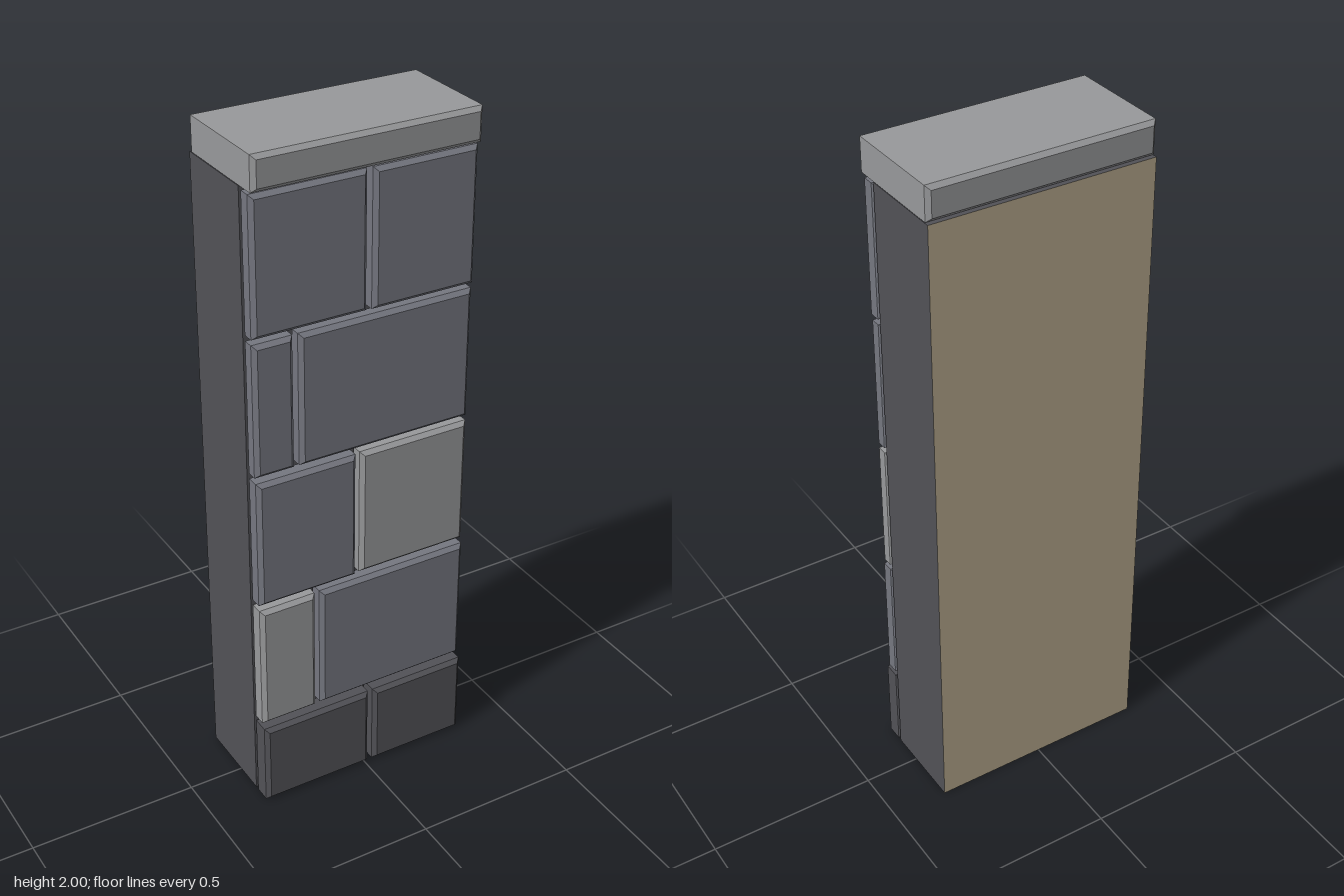
import * as THREE from 'three';

const BEVEL = 0.012;
const HALF = 0.333;

const darkStone = new THREE.MeshStandardMaterial({ name: 'darkStone', color: 0x525257 });
const blueStone = new THREE.MeshStandardMaterial({ name: 'blueStone', color: 0x757780 });
const lightStone = new THREE.MeshStandardMaterial({ name: 'lightStone', color: 0x98999b });
const tanPlaster = new THREE.MeshStandardMaterial({ name: 'tanPlaster', color: 0xb5a88c });

// Stone with chamfers around its front and back faces, sharp edges along z
function stone(name, material, x0, x1, y0, y1, z0, z1) {
  const shape = new THREE.Shape();
  shape.moveTo(x0, y0);
  shape.lineTo(x1, y0);
  shape.lineTo(x1, y1);
  shape.lineTo(x0, y1);
  shape.closePath();
  const geometry = new THREE.ExtrudeGeometry(shape, {
    depth: z1 - z0 - 2 * BEVEL,
    bevelEnabled: true,
    bevelThickness: BEVEL,
    bevelSize: BEVEL,
    bevelOffset: -BEVEL,
    bevelSegments: 1,
  });
  geometry.translate(0, 0, z0 + BEVEL);
  const mesh = new THREE.Mesh(geometry, material);
  mesh.name = name;
  return mesh;
}

export function createModel() {
  const model = new THREE.Group();
  model.name = 'stoneWallPillar';

  // Core slab with a plastered back face
  const core = new THREE.Mesh(
    new THREE.BoxGeometry(2 * HALF, 1.9, 0.262),
    [darkStone, darkStone, darkStone, darkStone, darkStone, tanPlaster],
  );
  core.name = 'core';
  core.position.set(0, 0.95, -0.036);
  model.add(core);

  // Facing courses: bottom, top, joint position, then material and front z of each stone
  const courses = [
    [0, 0.26, 0.02, darkStone, 0.167, darkStone, 0.167],
    [0.276, 0.668, -0.151, lightStone, 0.156, blueStone, 0.154],
    [0.685, 1.077, -0.019, blueStone, 0.154, lightStone, 0.149],
    [1.093, 1.485, -0.206, blueStone, 0.149, blueStone, 0.149],
    [1.501, 1.893, 0.012, blueStone, 0.151, blueStone, 0.153],
  ];
  const gap = 0.008;
  courses.forEach(([y0, y1, joint, matA, zA, matB, zB], i) => {
    const course = new THREE.Group();
    course.name = i === 0 ? 'baseCourse' : `facingCourse${i}`;
    course.add(stone('rightStone', matA, -HALF, joint - gap, y0, y1, 0.095, zA));
    course.add(stone('leftStone', matB, joint + gap, HALF, y0, y1, 0.095, zB));
    model.add(course);
  });

  // Cap stone
  model.add(stone('capStone', lightStone, -HALF, HALF, 1.902, 2, -0.167, 0.167));
  return model;
}
